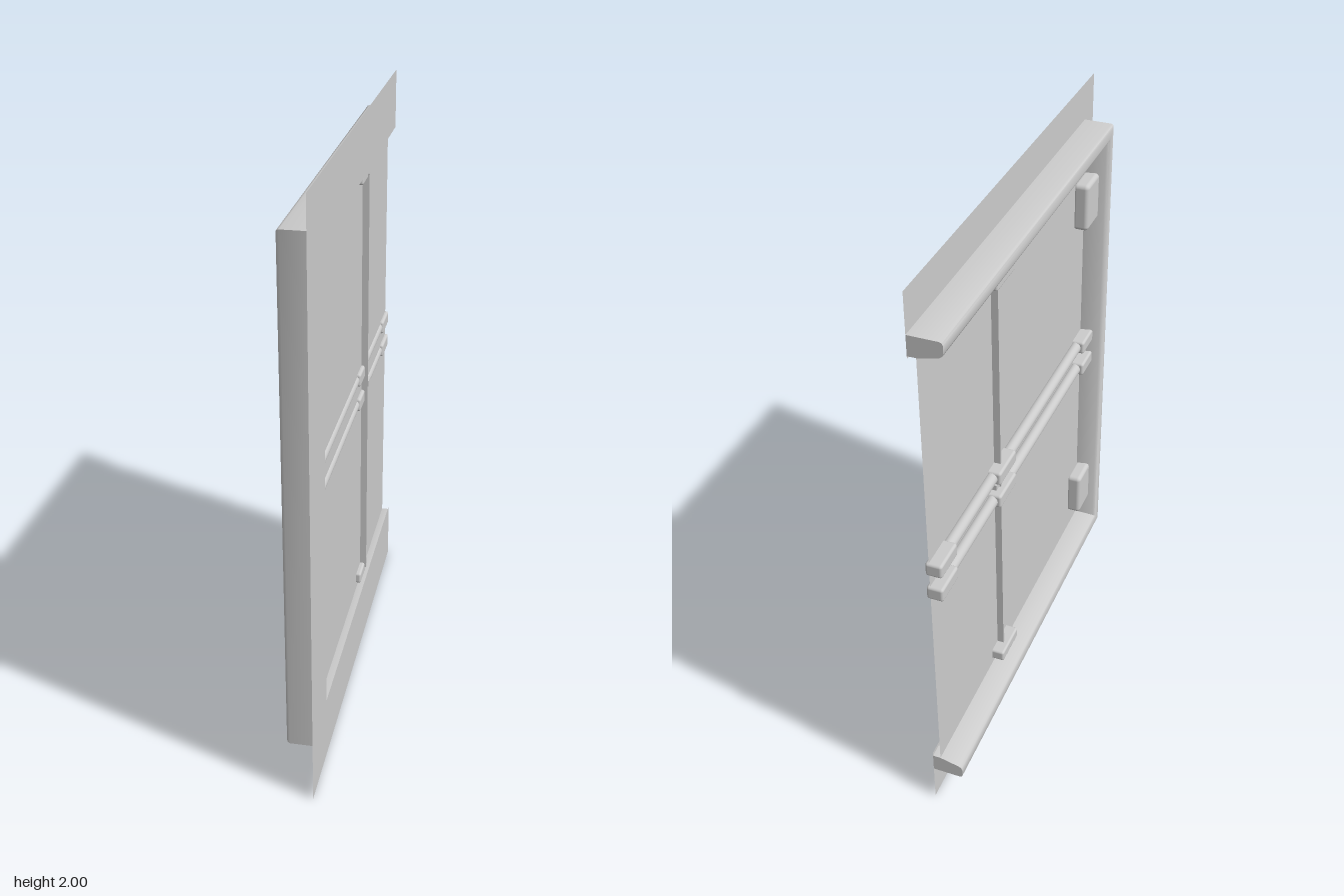
import * as THREE from 'three';
import { toCreasedNormals } from 'three/addons/utils/BufferGeometryUtils.js';
import { RoundedBoxGeometry } from 'three/addons/geometries/RoundedBoxGeometry.js';

const grey = new THREE.MeshStandardMaterial({ color: 0xcccccc, side: THREE.DoubleSide });

export function createModel() {
  const model = new THREE.Group();

  const add = (name, geometry, x = 0, y = 0, z = 0) => {
    const mesh = new THREE.Mesh(geometry, grey);
    mesh.name = name;
    mesh.position.set(x, y, z);
    model.add(mesh);
    return mesh;
  };
  // Box given by its limits on each axis, optionally with rounded edges
  const block = (name, [x0, x1], [y0, y1], [z0, z1], round = 0) => {
    const size = [x1 - x0, y1 - y0, z1 - z0];
    const geometry = round ? new RoundedBoxGeometry(...size, 3, round) : new THREE.BoxGeometry(...size);
    return add(name, geometry, (x0 + x1) / 2, (y0 + y1) / 2, (z0 + z1) / 2);
  };
  // Flat sheet in the y-z plane, corners given as [z, y]
  const sheet = (name, x, corners) => {
    const shape = new THREE.Shape(corners.map(([z, y]) => new THREE.Vector2(-z, y)));
    return add(name, new THREE.ShapeGeometry(shape).rotateY(Math.PI / 2), x);
  };

  // Outer wall sheet with the opening running out at the back edge
  sheet('wallSheet', 0.05, [
    [-0.75, 0], [0.76, 0], [0.76, 2], [-0.75, 2],
    [-0.75, 1.795], [0.54, 1.795], [0.54, 0.22], [-0.75, 0.22],
  ]);

  // Recessed door panel
  sheet('doorPanel', 0.023, [[-0.75, 0.2], [0.625, 0.2], [0.625, 1.81], [-0.75, 1.81]]);

  // Three-sided frame: profile [inset, x] swept along bottom, front and top
  const profile = [
    [0, 0.05], [0, -0.044], [0.003, -0.052], [0.01, -0.055],
    [0.036, -0.055], [0.044, -0.052], [0.05, -0.044], [0.066, 0.023], [0.066, 0.05],
  ];
  const stations = [
    (d) => [-0.75, 0.14 + d],
    (d) => [0.675 - d, 0.14 + d],
    (d) => [0.675 - d, 1.87 - d],
    (d) => [-0.75, 1.87 - d],
  ];
  const positions = [];
  const index = [];
  const n = profile.length;
  for (const at of stations) {
    for (const [d, x] of profile) {
      const [z, y] = at(d);
      positions.push(x, y, z);
    }
  }
  for (let s = 0; s < stations.length - 1; s++) {
    for (let i = 0; i < n; i++) {
      const a = s * n + i;
      const b = s * n + ((i + 1) % n);
      index.push(a, a + n, b, b, a + n, b + n);
    }
  }
  const frame = new THREE.BufferGeometry();
  frame.setAttribute('position', new THREE.Float32BufferAttribute(positions, 3));
  frame.setIndex(index);
  add('frame', toCreasedNormals(frame, 0.9));

  // Caps on the open ends of the frame
  for (const place of [(d) => 0.14 + d, (d) => 1.87 - d]) {
    const end = new THREE.Shape(profile.map(([d, x]) => new THREE.Vector2(x, place(d))));
    const cap = new THREE.ShapeGeometry(end).rotateY(Math.PI);
    cap.scale(-1, 1, 1);
    cap.setIndex(Array.from(cap.index.array).reverse());
    add('frameEnd', cap, 0, 0, -0.75);
  }

  // Pair of horizontal lock rods with their clamps
  for (const y of [0.963, 1.057]) {
    const rod = new THREE.CylinderGeometry(0.02, 0.02, 1.32, 20).rotateX(Math.PI / 2);
    add('lockRod', rod, 0.011, y, -0.09);
    for (const [z0, z1] of [[-0.755, -0.635], [-0.29, -0.15], [0.52, 0.63]]) {
      block('rodClamp', [-0.02, 0.035], [y - 0.024, y + 0.024], [z0, z1], 0.009);
    }
  }

  // Thin upright bar with guides at both ends, and its handle
  block('uprightBar', [0, 0.046], [0.25, 1.77], [-0.239, -0.231]);
  for (const y of [0.248, 1.772]) {
    block('barGuide', [-0.02, 0.04], [y - 0.02, y + 0.02], [-0.29, -0.15], 0.008);
  }
  block('handle', [0.0, 0.048], [1.0, 1.02], [-0.278, -0.235]);

  // Hinges on the inside of the frame
  for (const y of [0.37, 1.625]) {
    block('hinge', [-0.025, 0.032], [y - 0.085, y + 0.085], [0.51, 0.63], 0.015);
  }

  return model;
}
